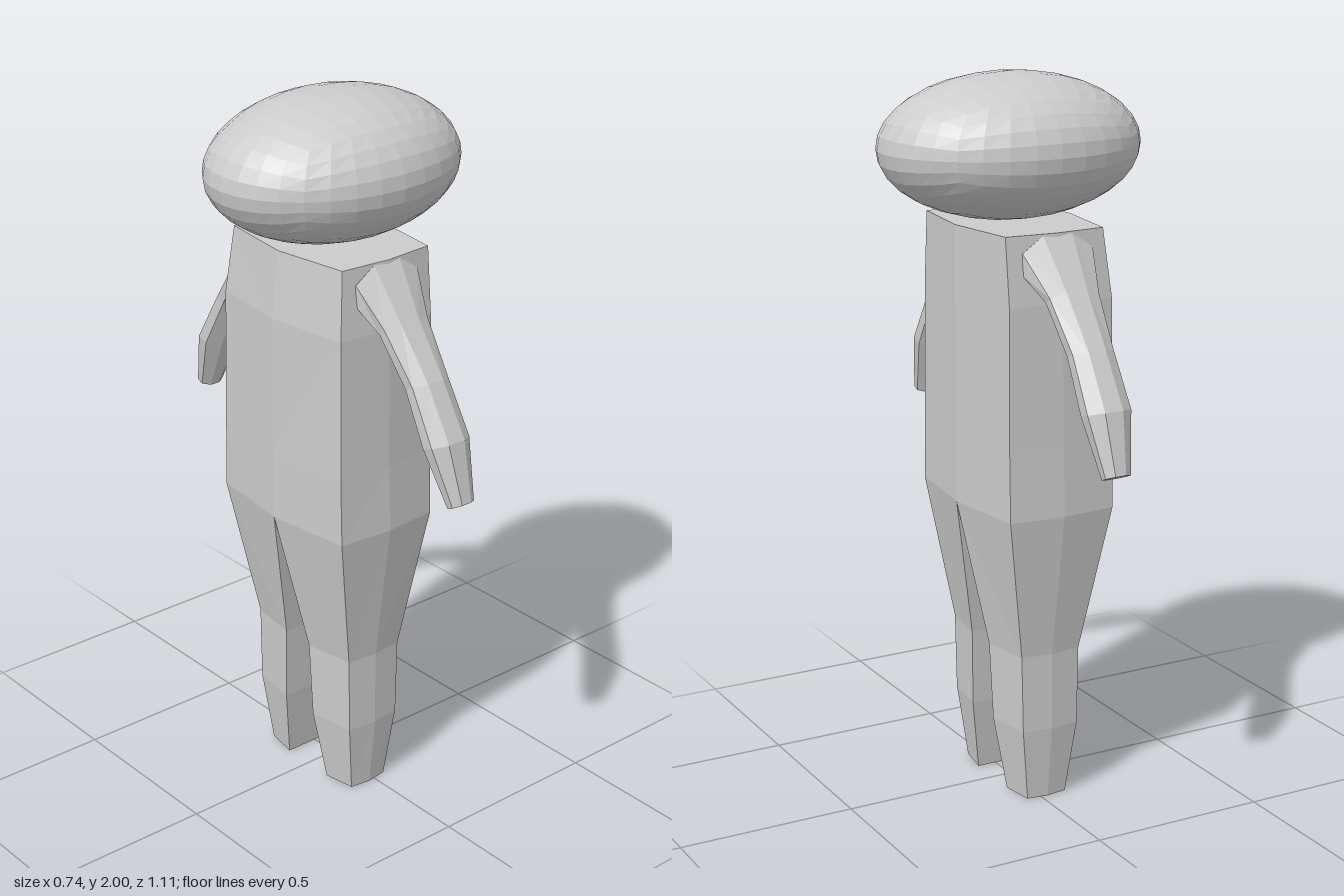
import * as THREE from 'three';

const material = new THREE.MeshStandardMaterial({ color: 0xcccccc, flatShading: true });

// Skin a stack of closed rings (bottom to top) and cap both ends; side -1 mirrors in z
function loft(name, rings, side) {
  const n = rings[0].length;
  const pos = [];
  const index = [];
  const tri = (a, b, c) => (side > 0 ? index.push(a, b, c) : index.push(a, c, b));
  rings.forEach(r => r.forEach(([x, y, z]) => pos.push(x, y, z * side)));
  for (let r = 0; r < rings.length - 1; r++) {
    for (let i = 0; i < n; i++) {
      const a = r * n + i, b = r * n + (i + 1) % n;
      tri(a, b, b + n);
      tri(a, b + n, a + n);
    }
  }
  const top = (rings.length - 1) * n;
  for (let i = 1; i < n - 1; i++) {
    tri(0, i + 1, i);
    tri(top, top + i, top + i + 1);
  }
  const g = new THREE.BufferGeometry();
  g.setAttribute('position', new THREE.Float32BufferAttribute(pos, 3));
  g.setIndex(index);
  const flat = g.toNonIndexed();
  flat.computeVertexNormals();
  const mesh = new THREE.Mesh(flat, material);
  mesh.name = name;
  return mesh;
}

// Half of the body: [y, back x, front x, inner z, outer z, corner inset x, corner inset z]
const bodyLevels = [
  [0.00, -0.095, 0.055, 0.085, 0.185, 0.015, 0.008],
  [0.21, -0.125, 0.085, 0.060, 0.207, 0.020, 0.010],
  [0.43, -0.130, 0.092, 0.050, 0.207, 0.022, 0.010],
  [0.84, -0.210, 0.165, 0.000, 0.265, 0.030, 0.014],
  [1.03, -0.210, 0.165, 0.000, 0.258, 0.030, 0.012],
  [1.42, -0.208, 0.165, 0.000, 0.253, 0.032, 0.012],
  [1.605, -0.187, 0.165, 0.000, 0.235, 0.030, 0.012],
];
const bodyRing = ([y, back, front, inner, outer, ix, iz]) => [
  [front, y, inner],
  [back, y, inner],
  [back + ix, y, outer - iz],
  [(back + front) / 2, y, outer],
  [front - ix, y, outer - iz],
];

// Arm from hand to shoulder: [upper z, upper y, lower z, lower y, min x, max x]
const armLevels = [
  [0.555, 1.030, 0.510, 1.010, -0.055, 0.020],
  [0.515, 1.190, 0.435, 1.165, -0.085, 0.045],
  [0.430, 1.330, 0.362, 1.305, -0.080, 0.042],
  [0.328, 1.465, 0.280, 1.425, -0.092, 0.055],
  [0.232, 1.600, 0.235, 1.460, -0.120, 0.090],
  [0.150, 1.590, 0.150, 1.450, -0.120, 0.090],
];
function armRing([uz, uy, lz, ly, x0, x1]) {
  const k = 0.5 / Math.cos(Math.PI / 8);
  return Array.from({ length: 8 }, (_, i) => {
    const t = (i + 0.5) * Math.PI / 4;
    const c = Math.cos(t) * k, s = Math.sin(t) * k;
    return [
      (x0 + x1) / 2 + (x1 - x0) * c,
      (uy + ly) / 2 - (uy - ly) * s,
      (uz + lz) / 2 - (uz - lz) * s,
    ];
  });
}

// Wide oval head: a subdivided cube blown up to an ellipsoid
function makeHead() {
  const g = new THREE.BoxGeometry(2, 2, 2, 8, 8, 8);
  const p = g.attributes.position;
  const v = new THREE.Vector3();
  for (let i = 0; i < p.count; i++) {
    v.fromBufferAttribute(p, i);
    v.set(Math.tan(v.x * Math.PI / 4), Math.tan(v.y * Math.PI / 4), Math.tan(v.z * Math.PI / 4));
    v.normalize();
    p.setXYZ(i, v.x * 0.37, 1.805 + v.y * 0.195, v.z * 0.284);
  }
  const flat = g.toNonIndexed();
  flat.computeVertexNormals();
  const head = new THREE.Mesh(flat, material);
  head.name = 'head';
  return head;
}

export function createModel() {
  const model = new THREE.Group();
  model.name = 'figure';
  model.add(makeHead());
  // Mirrored halves: torso with leg, and arm
  for (const [side, label] of [[1, 'Front'], [-1, 'Back']]) {
    model.add(loft('torsoAndLeg' + label, bodyLevels.map(bodyRing), side));
    model.add(loft('arm' + label, armLevels.map(armRing), side));
  }
  return model;
}
